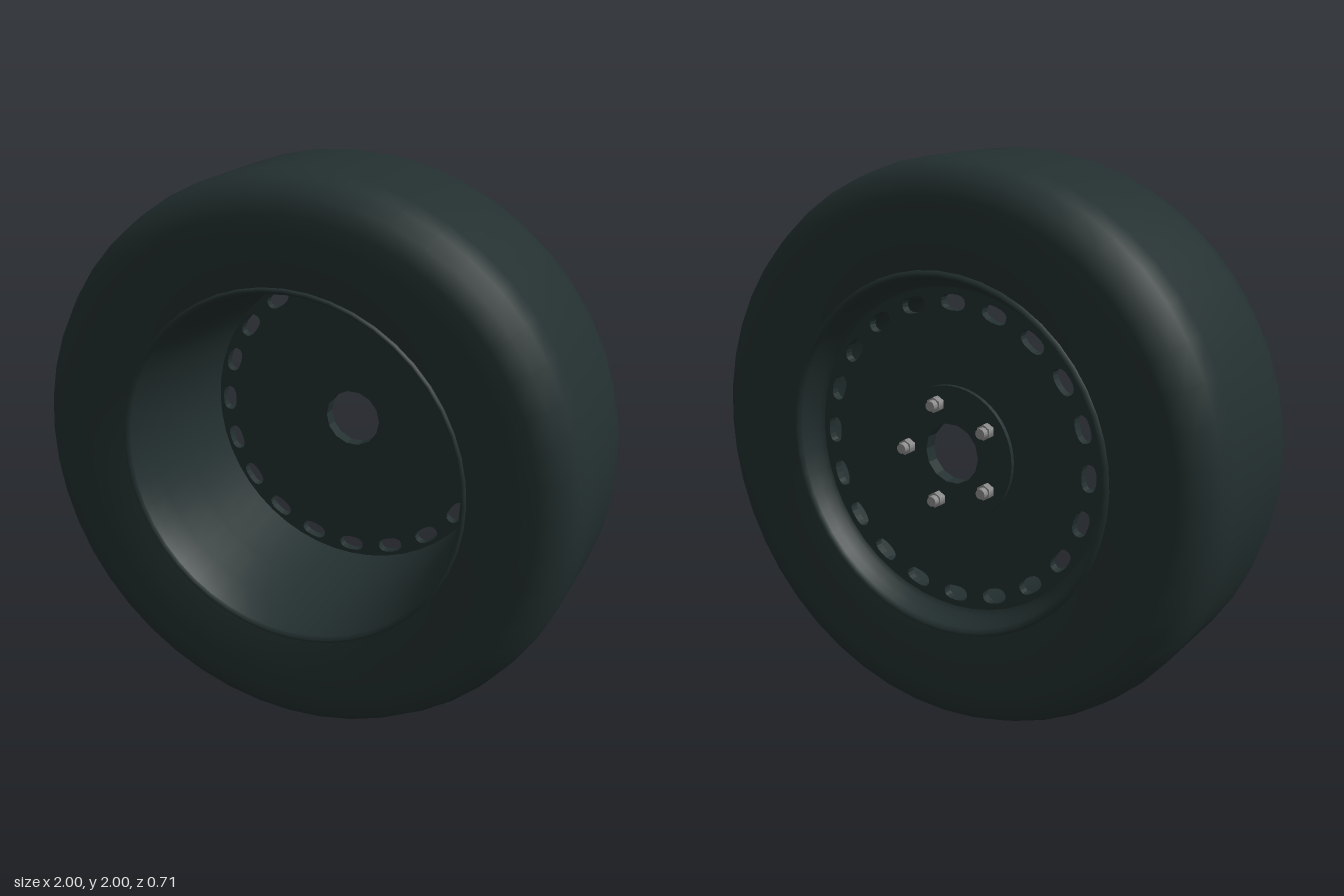
import * as THREE from 'three';

const SEGMENTS = 48;

// Points of an ellipse-like loop; power < 1 squares it off into a slot
function oval(cx, cy, rx, ry, count, turn = 0, power = 1) {
  const bend = v => Math.sign(v) * Math.abs(v) ** power;
  return Array.from({ length: count }, (_, i) => {
    const t = (i / count) * Math.PI * 2;
    const p = new THREE.Vector2(rx * bend(Math.cos(t)), ry * bend(Math.sin(t)));
    return p.rotateAround(new THREE.Vector2(), turn).add(new THREE.Vector2(cx, cy));
  });
}

// Revolve [radius, z] points around the axle
function revolve(points) {
  const profile = points.map(([r, z]) => new THREE.Vector2(r, z));
  return new THREE.LatheGeometry(profile, SEGMENTS).rotateX(Math.PI / 2);
}

// Flat plate with holes, from z = back to z = front
function plate(radius, holes, back, front) {
  const shape = new THREE.Shape(oval(0, 0, radius, radius, SEGMENTS));
  shape.holes = holes.map(h => new THREE.Path(h));
  const geo = new THREE.ExtrudeGeometry(shape, { depth: front - back, bevelEnabled: false });
  return geo.translate(0, 0, back);
}

export function createModel() {
  const model = new THREE.Group();
  model.name = 'wheel';
  const charcoal = new THREE.MeshStandardMaterial({ color: 0x232f2f });
  charcoal.name = 'charcoal';
  const steel = new THREE.MeshStandardMaterial({ color: 0x8c8c8c });
  steel.name = 'steel';

  const add = (name, geometry, material, parent = model) => {
    const mesh = new THREE.Mesh(geometry, material);
    mesh.name = name;
    parent.add(mesh);
    return mesh;
  };

  // Tyre: sidewall, rounded shoulder and tread, mirrored front to back
  const half = [[0.64, 0.335], [0.72, 0.35], [0.81, 0.356], [0.88, 0.355],
    [0.95, 0.335], [0.985, 0.265], [1, 0.19]];
  const mirrored = half.map(([r, z]) => [r, -z]);
  add('tyre', revolve([...mirrored, ...half.slice().reverse()]), charcoal);

  // Rim: a rolled lip on each side and the deep barrel between
  add('frontLip', revolve([[0.642, 0.33], [0.64, 0.343], [0.63, 0.345], [0.622, 0.335]]), charcoal);
  add('barrel', revolve([[0.622, 0.335], [0.61, 0.3], [0.595, 0.22], [0.58, 0.05], [0.566, -0.22]]), charcoal);
  add('backWell', revolve([[0.57, -0.25], [0.59, -0.262], [0.605, -0.3], [0.615, -0.33]]), charcoal);
  add('backLip', revolve([[0.615, -0.33], [0.622, -0.345], [0.635, -0.345], [0.642, -0.33]]), charcoal);

  // Disc with a ring of oval vents and the axle bore
  const bore = oval(0, 0, 0.107, 0.107, 14);
  const vents = Array.from({ length: 20 }, (_, i) => {
    const a = (i / 20) * Math.PI * 2;
    return oval(0.523 * Math.cos(a), 0.523 * Math.sin(a), 0.028, 0.048, 16, a, 0.8);
  });
  add('disc', plate(0.58, [bore, ...vents], -0.252, -0.22), charcoal);
  add('hub', plate(0.24, [bore], -0.268, -0.25), charcoal);

  // Five lug nuts on the back of the hub
  for (let i = 0; i < 5; i++) {
    const a = (i / 5) * Math.PI * 2;
    const lug = new THREE.Group();
    lug.name = 'lug';
    lug.position.set(0.18 * Math.cos(a), 0.18 * Math.sin(a), -0.266);
    lug.rotation.x = -Math.PI / 2;
    const nut = add('nut', new THREE.CylinderGeometry(0.028, 0.028, 0.032, 6), steel, lug);
    nut.position.y = 0.014;
    const stud = add('stud', new THREE.CylinderGeometry(0.018, 0.02, 0.024, 12), steel, lug);
    stud.position.y = 0.038;
    model.add(lug);
  }

  model.position.y = 1;
  const root = new THREE.Group();
  root.add(model);
  return root;
}
